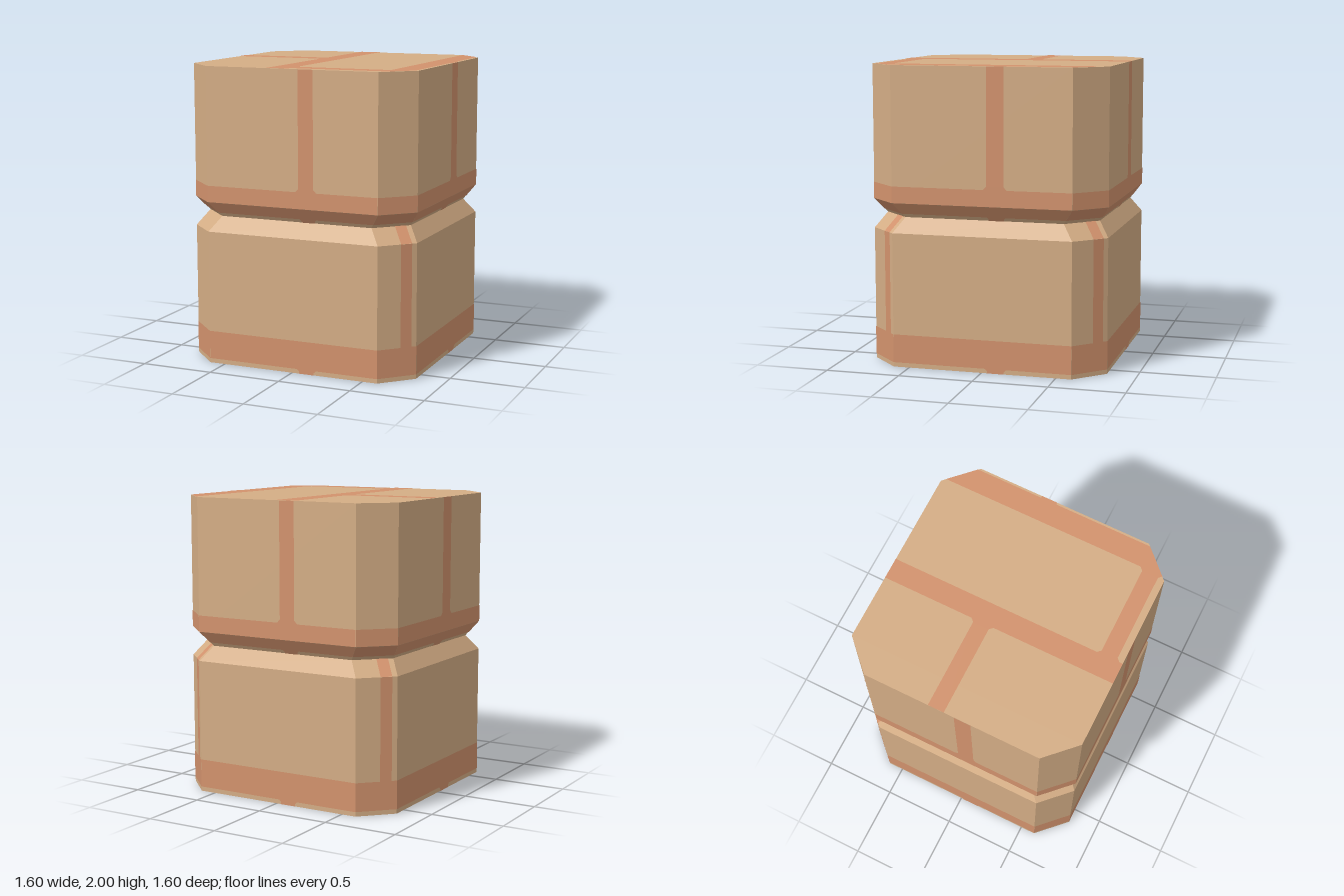
import * as THREE from 'three';
import { mergeGeometries } from 'three/addons/utils/BufferGeometryUtils.js';

const LIFT = 0.002, FLARE = 0.022;
// Octagonal cross-sections: height, half width, half length of each main side
const RINGS = [[0, 0.8, 0.605], [0.9, 0.8, 0.605], [1, 0.73, 0.535], [1.1, 0.8, 0.605], [2, 0.8, 0.605]];

// Eight corners of a ring, running from the front towards +x
function corners([y, r, a]) {
  const out = [];
  for (let k = 0; k < 4; k++) {
    for (let [x, z] of [[-a, r], [a, r]]) {
      for (let n = 0; n < k; n++) [x, z] = [z, -x];
      out.push(new THREE.Vector3(x, y, z));
    }
  }
  return out;
}
const LOOPS = RINGS.map(corners);

function toGeometry(points) {
  const g = new THREE.BufferGeometry().setFromPoints(points);
  g.computeVertexNormals();
  return g;
}

// Polygon of [fraction along side, height] laid on one side between two rings
function patch(side, level, poly, lift) {
  const lo = LOOPS[level], hi = LOOPS[level + 1], j = (side + 1) % 8;
  const normal = lo[j].clone().sub(lo[side]).cross(hi[side].clone().sub(lo[side])).normalize();
  const place = ([s, y]) => {
    const t = (y - lo[0].y) / (hi[0].y - lo[0].y);
    const p = lo[side].clone().lerp(lo[j], s);
    return p.lerp(hi[side].clone().lerp(hi[j], s), t).addScaledVector(normal, lift);
  };
  const contour = poly.map(([s, y]) => new THREE.Vector2(s, y));
  return toGeometry(THREE.ShapeUtils.triangulateShape(contour, []).flat().map((i) => place(poly[i])));
}

const rect = (x0, x1, y0, y1) => [[x0, y0], [x1, y0], [x1, y1], [x0, y1]];

// Strip along the first axis, optionally widening where it meets another joint
function strip(a0, a1, b0, b1, f0, f1) {
  const pts = [];
  if (f0) pts.push([a0, b0 - f0]);
  pts.push([a0 + f0, b0], [a1 - f1, b0]);
  if (f1) pts.push([a1, b0 - f1], [a1, b1 + f1]);
  pts.push([a1 - f1, b1], [a0 + f0, b1]);
  if (f0) pts.push([a0, b1 + f0]);
  return pts;
}
const upright = (u0, u1, y0, y1, f0, f1) =>
  strip(y0, y1, u0, u1, f0, f1).map(([y, u]) => [(u + 0.605) / 1.21, y]).reverse();

// Joints on a flat cap, drawn in x and -z
function capJoints() {
  const polys = [
    rect(-0.165, -0.02, -0.8, 0.8),
    strip(-0.8, -0.165, 0.05, 0.16, 0, FLARE),
    [[0.63, -0.775], [0.785, -0.62], [0.785, 0.62], [0.63, 0.775]],
    strip(-0.02, 0.63, -0.755, -0.645, FLARE, FLARE),
    rect(0.785, 0.8, 0.05, 0.16),
  ];
  const parts = polys.map((p) => new THREE.ShapeGeometry(new THREE.Shape(p.map(([x, y]) => new THREE.Vector2(x, y)))));
  return mergeGeometries(parts).rotateX(-Math.PI / 2);
}

export function createModel() {
  const group = new THREE.Group();
  const brick = new THREE.MeshStandardMaterial({ color: 0xd4ad85 });
  brick.name = 'sandBrick';
  const mortar = new THREE.MeshStandardMaterial({ color: 0xd2926d });
  mortar.name = 'clayMortar';
  const add = (name, geometry, material) => {
    const mesh = new THREE.Mesh(geometry, material);
    mesh.name = name;
    group.add(mesh);
  };

  // Pillar body with chamfered corners and a V groove round the middle
  const body = [];
  for (let level = 0; level < 4; level++) {
    for (let side = 0; side < 8; side++) {
      body.push(patch(side, level, rect(0, 1, RINGS[level][0], RINGS[level + 1][0]), 0));
    }
  }
  const top = [], bottom = [];
  for (let i = 1; i < 7; i++) {
    top.push(LOOPS[4][0], LOOPS[4][i], LOOPS[4][i + 1]);
    bottom.push(LOOPS[0][0], LOOPS[0][i + 1], LOOPS[0][i]);
  }
  add('pillarBody', mergeGeometries([...body, toGeometry(top), toGeometry(bottom)]), brick);

  // Horizontal joints round both courses
  const bands = [];
  for (let side = 0; side < 8; side++) {
    bands.push(patch(side, 0, rect(0, 1, 0.03, 0.22), LIFT));
    bands.push(patch(side, 2, rect(0, 1, 1.025, 1.1), LIFT));
    bands.push(patch(side, 3, rect(0, 1, 1.1, 1.21), LIFT));
  }
  add('horizontalJoints', mergeGeometries(bands), mortar);

  // Upright joints on the four main sides: front, +x, back, -x
  const uprights = [];
  [[0.055, 0.16], [0.04, 0.155], [0.04, 0.15], [0.02, 0.135]].forEach(([u0, u1], k) => {
    uprights.push(patch(2 * k, 3, upright(u0, u1, 1.21, 2, FLARE, 0), LIFT));
    uprights.push(patch(2 * k, 2, upright(u0, u1, 1, 1.025, 0, 0.012), LIFT));
    uprights.push(patch(2 * k, 0, upright(u0, u1, 0, 0.03, 0, 0.015), LIFT));
  });
  add('uprightJoints', mergeGeometries(uprights), mortar);

  // Upright joints on three of the lower corners, running into the groove
  const cornerJoints = [];
  for (const side of [1, 3, 5]) {
    cornerJoints.push(patch(side, 0, rect(0.59, 0.87, 0.22, 0.9), LIFT));
    cornerJoints.push(patch(side, 1, rect(0.59, 0.87, 0.9, 1), LIFT));
  }
  add('cornerJoints', mergeGeometries(cornerJoints), mortar);

  // Joints on the top, and turned over on the underside
  add('topJoints', capJoints().translate(0, 2 + LIFT, 0), mortar);
  add('undersideJoints', capJoints().rotateZ(Math.PI).translate(0, -LIFT, 0), mortar);
  return group;
}
